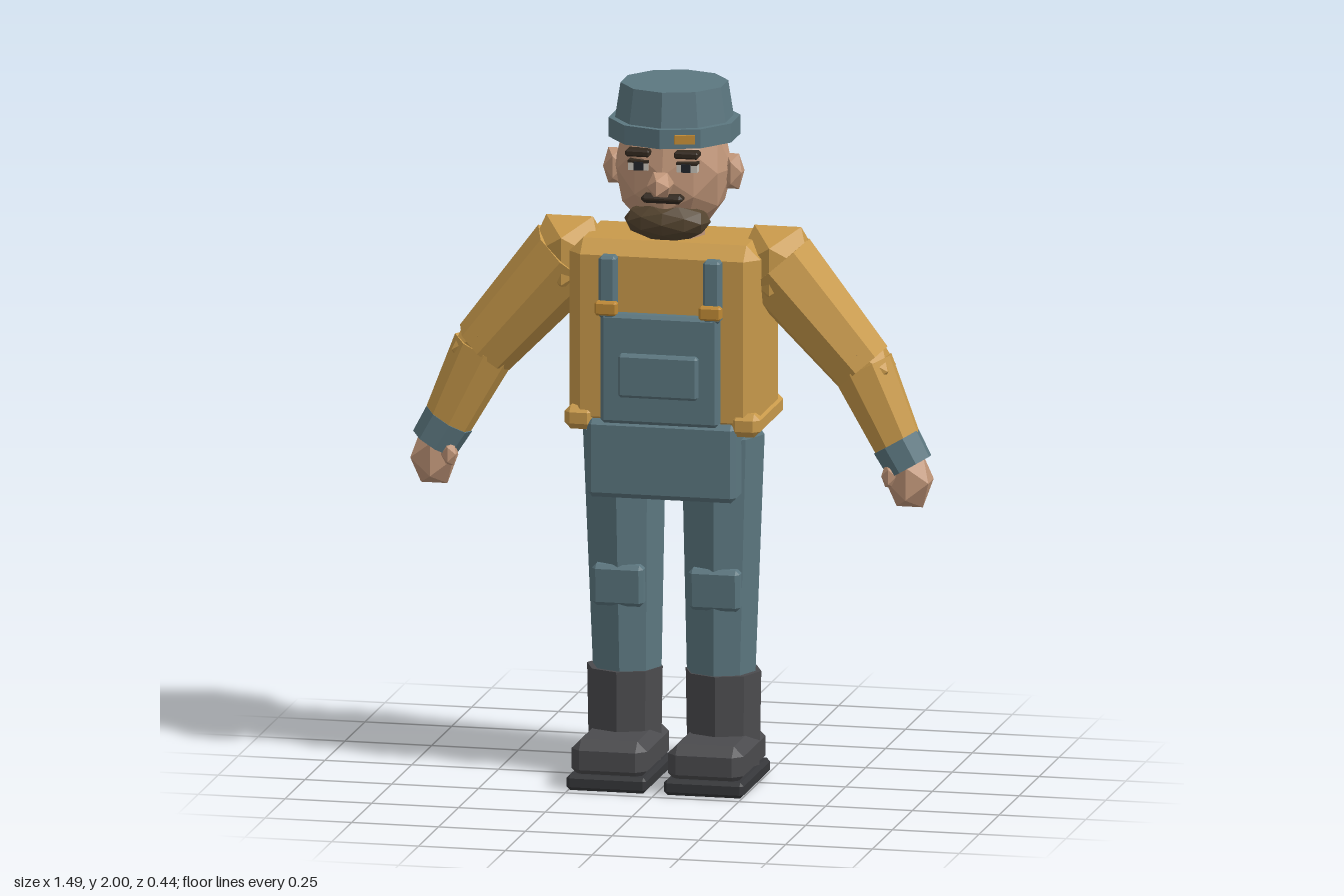
import * as THREE from 'three';
import { ConvexGeometry } from 'three/addons/geometries/ConvexGeometry.js';

const mat = (name, color) => Object.assign(new THREE.MeshStandardMaterial({ color }), { name });

export function createModel() {
  const shirt = mat('ochre shirt', 0xc99a4b);
  const denim = mat('blue denim', 0x5c7780);
  const skin = mat('skin', 0xc2977a);
  const hair = mat('brown hair', 0x54442f);
  const brow = mat('dark hair', 0x33291f);
  const boot = mat('boot leather', 0x4b4b4e);
  const sole = mat('boot sole', 0x36373a);
  const brass = mat('brass', 0xc08a35);
  const white = mat('eye white', 0xc9c4ba);
  const black = mat('pupil', 0x22252a);

  const model = new THREE.Group();
  model.name = 'worker';

  // Facet the geometry and add it as a named mesh
  function add(name, geometry, material, x = 0, y = 0, z = 0) {
    const g = geometry.index ? geometry.toNonIndexed() : geometry;
    g.computeVertexNormals();
    const mesh = new THREE.Mesh(g, material);
    mesh.name = name;
    mesh.position.set(x, y, z);
    model.add(mesh);
    return mesh;
  }

  // Chamfered box given by its limits on each axis
  function block(name, material, [x0, x1], [y0, y1], [z0, z1], c) {
    const hx = (x1 - x0) / 2, hy = (y1 - y0) / 2, hz = (z1 - z0) / 2;
    const pts = [];
    for (const a of [-1, 1]) for (const b of [-1, 1]) for (const d of [-1, 1]) {
      pts.push(new THREE.Vector3(a * hx, b * (hy - c), d * (hz - c)));
      pts.push(new THREE.Vector3(a * (hx - c), b * hy, d * (hz - c)));
      pts.push(new THREE.Vector3(a * (hx - c), b * (hy - c), d * hz));
    }
    return add(name, new ConvexGeometry(pts), material, (x0 + x1) / 2, (y0 + y1) / 2, (z0 + z1) / 2);
  }

  // Faceted ball stretched on each axis
  const ball = (name, material, pos, size, detail = 0) =>
    add(name, new THREE.IcosahedronGeometry(1, detail).scale(...size), material, ...pos);

  // Tapered eight-sided limb between two points
  function limb(name, material, from, to, r0, r1, sides = 8) {
    const a = new THREE.Vector3(...from), b = new THREE.Vector3(...to);
    const dir = b.clone().sub(a);
    const mesh = add(name, new THREE.CylinderGeometry(r1, r0, dir.length(), sides), material,
      ...a.clone().add(b).multiplyScalar(0.5));
    mesh.quaternion.setFromUnitVectors(new THREE.Vector3(0, 1, 0), dir.normalize());
    return mesh;
  }

  // Limits mirrored to either side
  const side = (s, a, b) => (s > 0 ? [a, b] : [-b, -a]);

  // Torso and overalls
  block('torso', shirt, [-0.275, 0.275], [1.02, 1.565], [-0.17, 0.13], 0.04);
  block('hips', denim, [-0.215, 0.215], [0.83, 1.055], [-0.14, 0.145], 0.015);
  block('bib', denim, [-0.17, 0.17], [1.05, 1.365], [0.12, 0.165], 0.01);
  block('bibPocket', denim, [-0.115, 0.115], [1.13, 1.255], [0.155, 0.185], 0.008);

  // Neck and head
  limb('neck', skin, [0, 1.53, -0.02], [0, 1.64, -0.02], 0.09, 0.09);
  ball('head', skin, [0, 1.76, -0.02], [0.17, 0.2, 0.147], 1);
  ball('beard', hair, [0, 1.62, 0.055], [0.125, 0.06, 0.08], 1);
  ball('nose', skin, [0, 1.74, 0.145], [0.038, 0.042, 0.062]);
  block('moustache', brow, [-0.06, 0.06], [1.683, 1.708], [0.09, 0.14], 0.01);

  // Hat
  add('hatCrown', new THREE.CylinderGeometry(0.152, 0.172, 0.13, 10), denim, 0, 1.935, -0.03);
  add('hatBand', new THREE.CylinderGeometry(0.186, 0.186, 0.055, 10), denim, 0, 1.8725, -0.03);
  const badge = add('hatBadge', new THREE.BoxGeometry(0.058, 0.025, 0.012), brass,
    0.18 * Math.sin(Math.PI / 10) + 0.012, 1.872, -0.03 + 0.18 * Math.cos(Math.PI / 10) - 0.004);
  badge.rotation.y = Math.PI / 10;

  for (const s of [1, -1]) {
    const n = (part) => (s > 0 ? 'left' : 'right') + part;

    // Face
    ball(n('Ear'), skin, [s * 0.17, 1.752, -0.022], [0.035, 0.06, 0.035]);
    block(n('Brow'), brow, side(s, 0.035, 0.105), [1.814, 1.834], [0.09, 0.135], 0.005);
    add(n('Eye'), new THREE.BoxGeometry(0.058, 0.026, 0.03), white, s * 0.07, 1.786, 0.105);
    add(n('Pupil'), new THREE.BoxGeometry(0.026, 0.024, 0.008), black, s * 0.068, 1.786, 0.123);
    add(n('Eyelid'), new THREE.BoxGeometry(0.06, 0.007, 0.034), brow, s * 0.07, 1.798, 0.106);

    // Straps, buckles and shirt hem
    block(n('Strap'), denim, side(s, 0.125, 0.175), [1.35, 1.53], [0.12, 0.165], 0.008);
    block(n('Buckle'), brass, side(s, 0.118, 0.182), [1.363, 1.403], [0.155, 0.184], 0.006);
    block(n('Hem'), shirt, side(s, 0.195, 0.282), [1.02, 1.088], [-0.185, 0.138], 0.018);

    // Arm
    const shoulder = [s * 0.3, 1.49, -0.022], elbow = [s * 0.545, 1.208, -0.022];
    const wrist = [s * 0.655, 0.98, -0.01], cuffEnd = [s * 0.685, 0.93, -0.005];
    ball(n('Shoulder'), shirt, shoulder, [0.128, 0.13, 0.128]);
    limb(n('UpperArm'), shirt, shoulder, elbow, 0.12, 0.094);
    ball(n('Elbow'), shirt, elbow, [0.098, 0.098, 0.098]);
    limb(n('Forearm'), shirt, elbow, wrist, 0.092, 0.07);
    limb(n('Cuff'), denim, [s * 0.644, 1.0, -0.01], cuffEnd, 0.074, 0.07);
    ball(n('Hand'), skin, [s * 0.685, 0.893, 0], [0.072, 0.09, 0.066]);
    ball(n('Thumb'), skin, [s * 0.635, 0.91, 0.03], [0.026, 0.04, 0.028]);

    // Leg
    limb(n('Leg'), denim, [s * 0.135, 0.28, -0.028], [s * 0.142, 1.0, -0.022], 0.098, 0.12);
    const pad = block(n('KneePad'), denim, side(s, 0.065, 0.213), [0.505, 0.625], [0.04, 0.086], 0.012);
    pad.rotation.x = 0.06;

    // Boot
    limb(n('BootShaft'), boot, [s * 0.142, 0.04, -0.028], [s * 0.142, 0.315, -0.028], 0.104, 0.109);
    block(n('BootFoot'), boot, side(s, 0.03, 0.248), [0.03, 0.142], [-0.12, 0.21], 0.028);
    block(n('BootSole'), sole, side(s, 0.025, 0.255), [0, 0.045], [-0.13, 0.22], 0.01);
  }
  return model;
}
